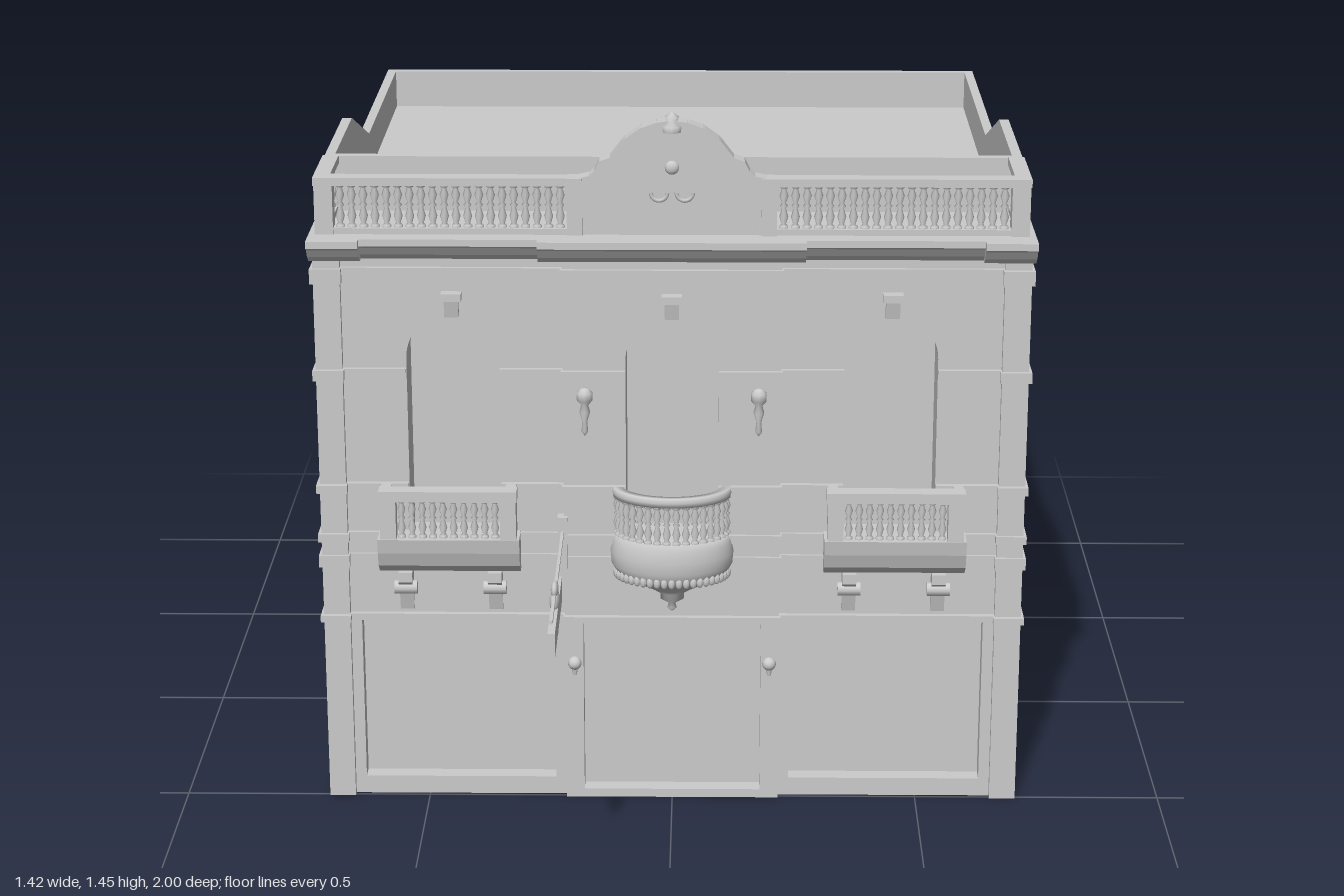
import * as THREE from 'three';

const mat = new THREE.MeshStandardMaterial({ color: 0xcccccc, side: THREE.DoubleSide });
const V = (pts) => pts.map(([x, y]) => new THREE.Vector2(x, y));

function add(parent, name, geo, x = 0, y = 0, z = 0) {
  const m = new THREE.Mesh(geo, mat);
  m.name = name;
  m.position.set(x, y, z);
  parent.add(m);
  return m;
}

// Box given by its limits on each axis
function block(parent, name, x0, x1, y0, y1, z0, z1) {
  return add(parent, name, new THREE.BoxGeometry(x1 - x0, y1 - y0, z1 - z0),
    (x0 + x1) / 2, (y0 + y1) / 2, (z0 + z1) / 2);
}

// Profile of [z, y] points drawn out along x
function sweepX(parent, name, profile, x0, x1) {
  const geo = new THREE.ExtrudeGeometry(new THREE.Shape(V(profile)), { depth: x1 - x0, bevelEnabled: false });
  geo.rotateY(-Math.PI / 2);
  return add(parent, name, geo, x1);
}

function turned(profile, seg = 10, start = 0, len = Math.PI * 2) {
  return new THREE.LatheGeometry(V(profile), seg, start, len);
}

// Double-bulb baluster, unit height
const balusterGeo = turned([[0.1, 0], [0.1, 0.06], [0.05, 0.1], [0.1, 0.27], [0.045, 0.46],
  [0.09, 0.52], [0.045, 0.58], [0.1, 0.75], [0.05, 0.9], [0.1, 0.94], [0.1, 1]], 8);
function balusters(parent, n, h, at) {
  for (let i = 0; i < n; i++) {
    const [x, y, z] = at((i + 0.5) / n);
    add(parent, 'baluster', balusterGeo, x, y, z).scale.setScalar(h);
  }
}

function rectPath(x0, x1, y0, y1, Type = THREE.Path) {
  return new Type(V([[x0, y0], [x1, y0], [x1, y1], [x0, y1]]));
}

// Wall of one bay with a ground-floor opening and an arched window
function bayWall(parent, x0, x1, front, doorInset, doorBottom) {
  const c = (x0 + x1) / 2, r = 0.092;
  const wall = rectPath(x0, x1, 0, 1.16, THREE.Shape);
  wall.holes.push(rectPath(x0 + doorInset, x1 - doorInset, doorBottom, 0.387));
  const arch = new THREE.Path();
  arch.moveTo(c - r, 0.56);
  arch.lineTo(c + r, 0.56);
  arch.lineTo(c + r, 1.035 - r);
  arch.absarc(c, 1.035 - r, r, 0, Math.PI, false);
  arch.closePath();
  wall.holes.push(arch);
  add(parent, 'bayWall', new THREE.ExtrudeGeometry(wall, { depth: front - 0.39, bevelEnabled: false, curveSegments: 16 }), 0, 0, 0.39);
  block(parent, 'windowPanel', c - r, c + r, 0.56, 1.04, 0.38, 0.395);
  block(parent, 'shopPanel', x0 + 0.01, x1 - 0.01, 0.01, 0.39, front - 0.05, front - 0.035);
  sweepX(parent, 'keystone', [[front - 0.01, 1.03], [front + 0.012, 1.03], [front + 0.02, 1.07], [front - 0.01, 1.07]], c - 0.014, c + 0.014);
  block(parent, 'keystoneCap', c - 0.02, c + 0.02, 1.065, 1.08, front - 0.01, front + 0.024);
}

function sideBalcony(parent, c) {
  const g = new THREE.Group();
  g.name = 'sideBalcony';
  g.position.x = c;
  parent.add(g);
  sweepX(g, 'balconyBase', [[0.47, 0.5], [0.515, 0.5], [0.54, 0.52], [0.55, 0.55], [0.555, 0.58], [0.47, 0.58]], -0.142, 0.142);
  block(g, 'balconyRail', -0.138, 0.138, 0.66, 0.682, 0.52, 0.555);
  for (const s of [-1, 1]) {
    block(g, 'balconyPost', s * 0.12 - 0.016, s * 0.12 + 0.016, 0.58, 0.66, 0.522, 0.552);
    block(g, 'balconyReturn', s * 0.125 - 0.01, s * 0.125 + 0.01, 0.58, 0.682, 0.47, 0.525);
    // Scrolled bracket below the floor
    const b = s * 0.09;
    sweepX(g, 'bracket', [[0.48, 0.41], [0.495, 0.41], [0.505, 0.45], [0.53, 0.48], [0.53, 0.5], [0.48, 0.5]], b - 0.014, b + 0.014);
    add(g, 'bracketScroll', new THREE.CylinderGeometry(0.014, 0.014, 0.046, 12).rotateZ(Math.PI / 2), b, 0.465, 0.515);
  }
  balusters(g, 10, 0.08, (t) => [-0.104 + 0.208 * t, 0.58, 0.537]);
}

function roundBalcony(parent) {
  const g = new THREE.Group();
  g.name = 'roundBalcony';
  g.position.z = 0.505;
  g.scale.z = 0.72;
  parent.add(g);
  const half = (name, p) => add(g, name, turned(p, 28, -Math.PI / 2, Math.PI));
  half('balconyBowl', [[0, 0.41], [0.01, 0.42], [0.007, 0.43], [0.024, 0.44], [0.024, 0.452], [0.04, 0.462],
    [0.075, 0.48], [0.108, 0.498], [0.114, 0.505], [0.122, 0.52], [0.124, 0.545], [0.119, 0.568], [0.112, 0.582], [0, 0.584]]);
  half('balconyHandrail', [[0.1, 0.662], [0.118, 0.662], [0.121, 0.672], [0.118, 0.682], [0.1, 0.682], [0.1, 0.662]]);
  balusters(g, 18, 0.08, (t) => [0.11 * Math.cos(Math.PI * t), 0.583, 0.11 * Math.sin(Math.PI * t)]);
  for (let i = 0; i <= 24; i++) {
    const a = Math.PI * i / 24;
    add(g, 'bowlBead', new THREE.SphereGeometry(0.007, 8, 6), 0.113 * Math.cos(a), 0.5, 0.113 * Math.sin(a)).scale.y = 1.6;
  }
}

function hangingSign(parent) {
  const g = new THREE.Group();
  g.name = 'hangingSign';
  g.position.x = -0.22;
  parent.add(g);
  block(g, 'signBoard', -0.007, 0.007, 0.512, 0.56, 0.7, 1);
  block(g, 'signRod', -0.003, 0.003, 0.579, 0.586, 0.5, 1);
  for (const z of [0.76, 0.94]) block(g, 'signHanger', -0.002, 0.002, 0.555, 0.582, z - 0.003, z + 0.003);
  for (const [y, r] of [[0.59, 0.022], [0.567, 0.03], [0.505, 0.018]])
    add(g, 'signOrnament', new THREE.SphereGeometry(r, 14, 8), 0, y, 0.848).scale.set(0.35, 0.75, 1);
  block(g, 'signWallPlate', -0.01, 0.01, 0.49, 0.615, 0.48, 0.518);
}

export function createModel() {
  const model = new THREE.Group();
  model.name = 'building';

  // Hollow main body with sloping parapets and sunken roof
  const body = new THREE.Group();
  body.name = 'mainBody';
  model.add(body);
  const side = [[-1, 0], [0.33, 0], [0.33, 1.312], [-0.01, 1.312], [-0.34, 1.2], [-1, 1.2]];
  sweepX(body, 'rightSideWall', side, -0.697, -0.677);
  sweepX(body, 'leftSideWall', side, 0.677, 0.697);
  block(body, 'backWall', -0.677, 0.677, 0, 1.2, -1, -0.98);
  block(body, 'frontParapet', -0.677, 0.677, 0, 1.312, 0.305, 0.325);
  sweepX(body, 'roof', [[-0.98, 1.115], [-0.34, 1.115], [-0.01, 1.225], [0.31, 1.225],
    [0.31, 1.215], [-0.01, 1.215], [-0.34, 1.105], [-0.98, 1.105]], -0.677, 0.677);

  // Front wall: centre bay, two set-back side bays and end piers
  const facade = new THREE.Group();
  facade.name = 'facade';
  model.add(facade);
  bayWall(facade, -0.217, 0.217, 0.507, 0.037, 0.018);
  block(facade, 'facadeTop', -0.705, 0.705, 1.15, 1.198, 0.325, 0.5);
  for (const s of [-1, 1]) {
    const x0 = s > 0 ? 0.217 : -0.653, x1 = s > 0 ? 0.653 : -0.217;
    bayWall(facade, x0, x1, 0.492, 0.022, 0.038);
    const p = [s * 0.653, s * 0.706].sort((a, b) => a - b);
    block(facade, 'endPier', p[0], p[1], 0, 1.16, 0.325, 0.507);
    sideBalcony(facade, s * 0.447);
  }
  roundBalcony(facade);

  // String courses, broken around the windows
  const segments = [[-0.712, -0.65, 0.507], [-0.65, -0.22, 0.492], [-0.22, 0.22, 0.507], [0.22, 0.65, 0.492], [0.65, 0.712, 0.507]];
  const bands = [[0.388, 0.402, 0.012], [0.505, 0.53, 0.006], [0.56, 0.577, 0.008], [0.665, 0.682, 0.012], [0.9, 0.922, 0.01], [1.1, 1.13, 0.009]];
  for (const [y0, y1, out] of bands) for (const [x0, x1, z] of segments) {
    const c = (x0 + x1) / 2, wide = x1 - x0 > 0.1;
    const parts = wide && y0 > 0.54 && y0 < 1.04 ? [[x0, c - 0.093], [c + 0.093, x1]] : [[x0, x1]];
    for (const [a, b] of parts) block(facade, 'stringCourse', a, b, y0, y1, wide ? 0.47 : 0.325, z + out);
  }

  // Cornice, shallower over the side bays
  const cornice = (x0, x1, d) => sweepX(facade, 'cornice', [[0.325, 1.2], [0.567 - d, 1.2], [0.567 - d, 1.186],
    [0.555 - d, 1.18], [0.543 - d, 1.163], [0.525 - d, 1.15], [0.325, 1.15]], x0, x1);
  cornice(-0.262, 0.262, 0);
  for (const s of [-1, 1]) {
    cornice(Math.min(s * 0.262, s * 0.61), Math.max(s * 0.262, s * 0.61), 0.02);
    cornice(Math.min(s * 0.61, s * 0.711), Math.max(s * 0.61, s * 0.711), 0);
  }

  // Roof balustrade with side returns
  const top = new THREE.Group();
  top.name = 'roofBalustrade';
  model.add(top);
  for (const s of [-1, 1]) {
    const strip = (name, a, b, y0, y1, z0, z1) => block(top, name, Math.min(s * a, s * b), Math.max(s * a, s * b), y0, y1, z0, z1);
    strip('plinth', 0.17, 0.69, 1.2, 1.212, 0.482, 0.508);
    strip('handrail', 0.17, 0.7, 1.298, 1.314, 0.478, 0.512);
    strip('endPost', 0.662, 0.698, 1.2, 1.3, 0.476, 0.512);
    strip('innerPost', 0.175, 0.205, 1.2, 1.314, 0.476, 0.514);
    strip('sidePlinth', 0.672, 0.696, 1.2, 1.212, 0.325, 0.48);
    strip('sideHandrail', 0.668, 0.7, 1.298, 1.314, 0.325, 0.48);
    balusters(top, 20, 0.088, (t) => [s * (0.207 + 0.453 * t), 1.211, 0.495]);
    balusters(top, 7, 0.088, (t) => [s * 0.684, 1.211, 0.33 + 0.146 * t]);
  }

  // Curved pediment with trim and finial
  const half = [[0.182, 1.2], [0.182, 1.31], [0.16, 1.315], [0.148, 1.325], [0.138, 1.345], [0.118, 1.352], [0.11, 1.362],
    [0.09, 1.388], [0.06, 1.41], [0.03, 1.421]];
  const outline = [...half, [0, 1.425], ...half.slice().reverse().map(([x, y]) => [-x, y])];
  add(top, 'pediment', new THREE.ExtrudeGeometry(new THREE.Shape(V(outline)), { depth: 0.024, bevelEnabled: false }), 0, 0, 0.482);
  for (let i = 1; i < outline.length - 2; i++) {
    const [ax, ay] = outline[i], [bx, by] = outline[i + 1];
    const m = add(top, 'pedimentTrim', new THREE.BoxGeometry(Math.hypot(bx - ax, by - ay) + 0.004, 0.009, 0.036), (ax + bx) / 2, (ay + by) / 2, 0.494);
    m.rotation.z = Math.atan2(by - ay, bx - ax);
  }
  add(top, 'finial', turned([[0.018, 0], [0.02, 0.012], [0.01, 0.02], [0.014, 0.03], [0, 0.04]]), 0, 1.406, 0.505);
  add(top, 'rosette', new THREE.SphereGeometry(0.014, 12, 8), 0, 1.335, 0.506).scale.z = 0.6;
  for (const s of [-1, 1]) add(top, 'pedimentScroll', new THREE.TorusGeometry(0.016, 0.004, 6, 12, Math.PI), s * 0.025, 1.285, 0.507).rotation.z = Math.PI;

  // Wall lamps on the upper floor and globe lamps beside the entrance
  const lampProfile = [[0, 0], [0.007, 0.01], [0.005, 0.03], [0.011, 0.05], [0.007, 0.065], [0.016, 0.075], [0.016, 0.09], [0.008, 0.098], [0, 0.1]];
  for (const s of [-1, 1]) {
    add(facade, 'wallLamp', turned(lampProfile), s * 0.172, 0.798, 0.545);
    block(facade, 'wallLampArm', s * 0.172 - 0.004, s * 0.172 + 0.004, 0.85, 0.86, 0.5, 0.55);
    add(facade, 'globeLamp', new THREE.SphereGeometry(0.014, 12, 10), s * 0.197, 0.308, 0.533);
    add(facade, 'globeLampStem', new THREE.CylinderGeometry(0.008, 0.004, 0.03, 8), s * 0.197, 0.297, 0.53);
    block(facade, 'globeLampArm', s * 0.197 - 0.003, s * 0.197 + 0.003, 0.302, 0.31, 0.5, 0.53);
  }

  hangingSign(model);
  return model;
}
